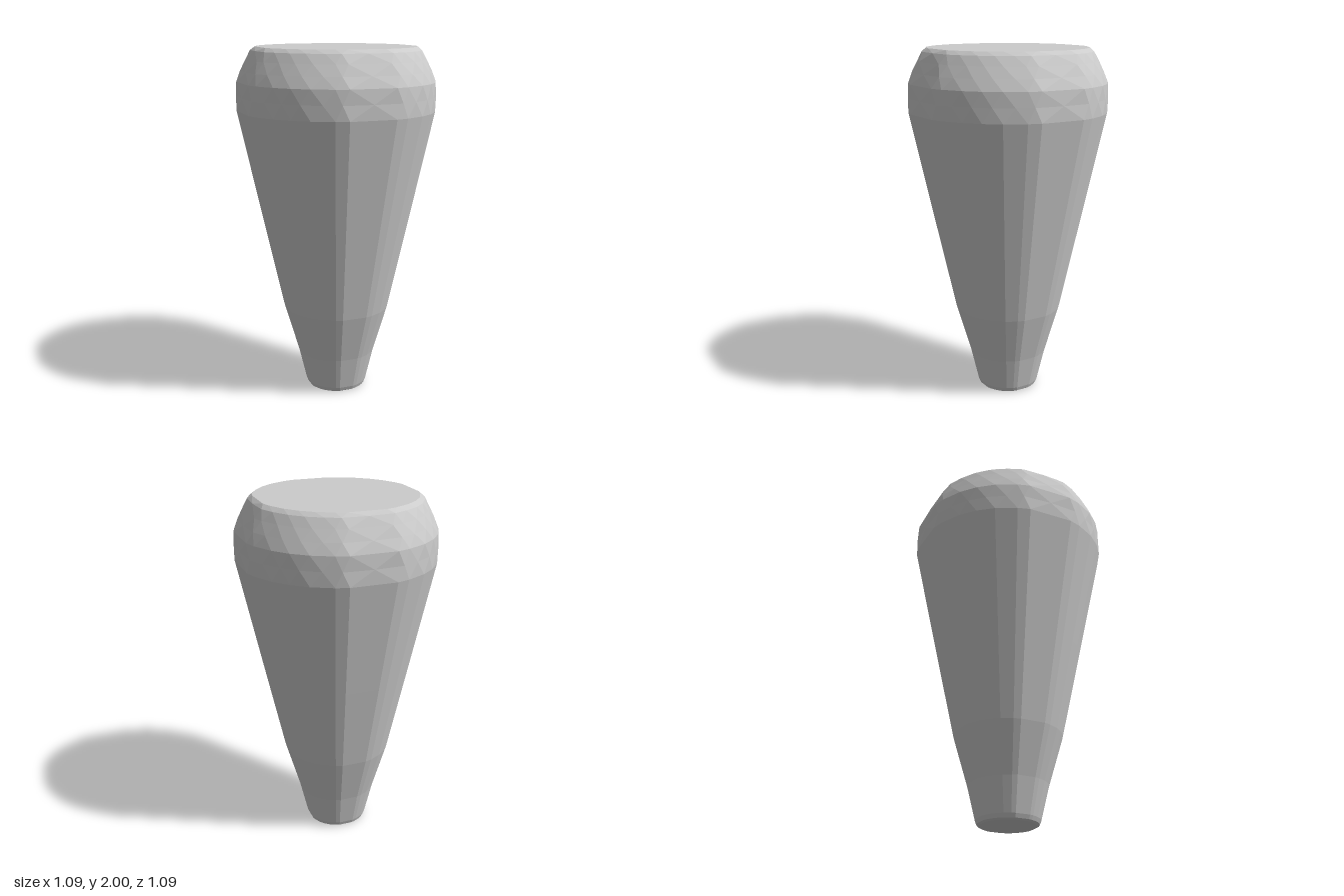
import * as THREE from 'three';

// Corner angles of the faceted outline: wide flats on the axes, narrower sides between
const QUADRANT = [13.5, 21, 34, 45, 56, 69, 76.5];
const corners = [];
for (let q = 0; q < 4; q++) {
  for (const a of QUADRANT) {
    const t = THREE.MathUtils.degToRad(a + q * 90);
    corners.push([Math.cos(t) * 1.026, Math.sin(t) * 1.026]);
  }
}
const N = corners.length;

// A ring of points; a staggered ring sits over the middles of the sides
function ring({ y, r, stagger }) {
  return corners.map(([x, z], k) => {
    const [nx, nz] = corners[(k + 1) % N];
    return stagger
      ? [(x + nx) / 2 * r * 1.004, y, (z + nz) / 2 * r * 1.004]
      : [x * r, y, z * r];
  });
}

function facetedMesh(name, position) {
  const geometry = new THREE.BufferGeometry();
  geometry.setAttribute('position', new THREE.Float32BufferAttribute(position, 3));
  geometry.computeVertexNormals();
  const mesh = new THREE.Mesh(geometry, new THREE.MeshStandardMaterial({ color: 0xcccccc, flatShading: true }));
  mesh.name = name;
  return mesh;
}

// Skin of triangles joining the rings from bottom to top
function loft(name, levels) {
  const position = [];
  const tri = (...points) => points.forEach((p) => position.push(...p));
  for (let i = 0; i < levels.length - 1; i++) {
    const a = ring(levels[i]);
    const b = ring(levels[i + 1]);
    const leansForward = levels[i].stagger && !levels[i + 1].stagger;
    for (let k = 0; k < N; k++) {
      const n = (k + 1) % N;
      if (leansForward) {
        tri(a[k], b[k], b[n]);
        tri(a[k], b[n], a[n]);
      } else {
        tri(a[k], b[k], a[n]);
        tri(a[n], b[k], b[n]);
      }
    }
  }
  return facetedMesh(name, position);
}

// Flat end closing a ring
function cap(name, level, up) {
  const points = ring(level);
  const position = [];
  points.forEach((p, k) => {
    const n = points[(k + 1) % N];
    position.push(0, level.y, 0, ...(up ? n : p), ...(up ? p : n));
  });
  return facetedMesh(name, position);
}

export function createModel() {
  const group = new THREE.Group();
  group.name = 'taperedPeg';

  // Tapered shaft with a slightly rounded foot
  const shaft = [
    { y: 0, r: 0.152 },
    { y: 0.008, r: 0.165 },
    { y: 0.03, r: 0.174 },
    { y: 0.22, r: 0.218 },
    { y: 0.5, r: 0.298 },
    { y: 1.0, r: 0.405 },
    { y: 1.65, r: 0.543 },
  ];
  // Rounded crown with staggered facets
  const crown = [
    { y: 1.65, r: 0.543 },
    { y: 1.73, r: 0.544, stagger: true },
    { y: 1.81, r: 0.541 },
    { y: 1.87, r: 0.518, stagger: true },
    { y: 1.93, r: 0.489 },
    { y: 1.98, r: 0.463, stagger: true },
    { y: 2.0, r: 0.438 },
  ];
  group.add(
    loft('shaft', shaft),
    loft('crown', crown),
    cap('foot', shaft[0], false),
    cap('flatTop', crown[crown.length - 1], true),
  );
  return group;
}
